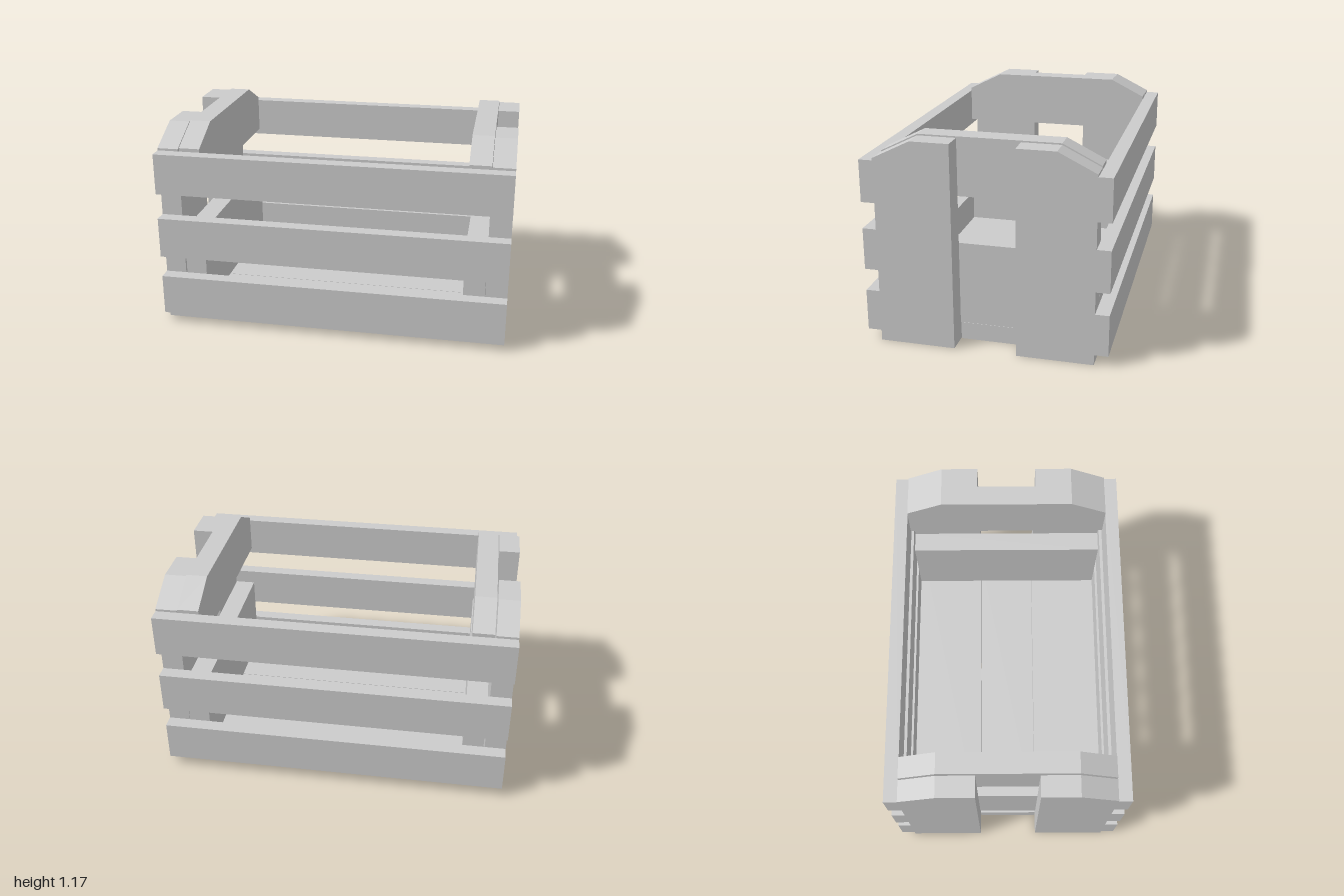
import * as THREE from 'three';

export function createModel() {
  const crate = new THREE.Group();
  crate.name = 'crate';
  const mat = new THREE.MeshStandardMaterial({ color: 0xcccccc, flatShading: true });

  // box given by its min and max corners
  function board(name, x0, x1, y0, y1, z0, z1) {
    const mesh = new THREE.Mesh(new THREE.BoxGeometry(x1 - x0, y1 - y0, z1 - z0), mat);
    mesh.position.set((x0 + x1) / 2, (y0 + y1) / 2, (z0 + z1) / 2);
    mesh.name = name;
    crate.add(mesh);
  }

  // outline drawn in (z, y), extruded along x from x0 to x1
  function profile(name, points, x0, x1) {
    const shape = new THREE.Shape(points.map(([z, y]) => new THREE.Vector2(-z, y)));
    const geo = new THREE.ExtrudeGeometry(shape, { depth: x1 - x0, bevelEnabled: false });
    geo.rotateY(Math.PI / 2);
    geo.translate(x0, 0, 0);
    const mesh = new THREE.Mesh(geo, mat);
    mesh.name = name;
    crate.add(mesh);
  }

  // floor: two long outer boards and a shorter middle one
  board('floorMiddle', -0.885, 0.877, 0, 0.1, -0.172, 0.172);
  for (const s of [-1, 1]) {
    const [a, b] = [0.175 * s, 0.6 * s].sort((p, q) => p - q);
    board('floorOuter', -1, 1, 0, 0.1, a, b);
  }

  // three slats on the front and the back
  for (const y of [0.06, 0.423, 0.81]) {
    board('frontSlat', -1, 1, y, y + 0.237, 0.6, 0.677);
    board('backSlat', -1, 1, y, y + 0.237, -0.677, -0.6);
  }

  // ends: corner posts outside, handle bar and lower panel inside
  const ends = [
    { post: [-1, -0.88], inner: [-0.873, -0.753] },
    { post: [0.877, 1], inner: [0.753, 0.875] },
  ];
  for (const { post, inner } of ends) {
    for (const s of [-1, 1]) {
      const pts = [[0.175, 0.1], [0.6, 0.1], [0.6, 1.06], [0.39, 1.164], [0.175, 1.164]];
      profile('cornerPost', pts.map(([z, y]) => [z * s, y]), ...post);
    }
    profile('handleBar', [[-0.6, 0.843], [0.6, 0.843], [0.6, 1.067], [0.39, 1.172],
      [-0.39, 1.172], [-0.6, 1.067]], ...inner);
    board('lowerEndPanel', ...inner, 0.1, 0.575, -0.6, 0.6);
  }
  return crate;
}
